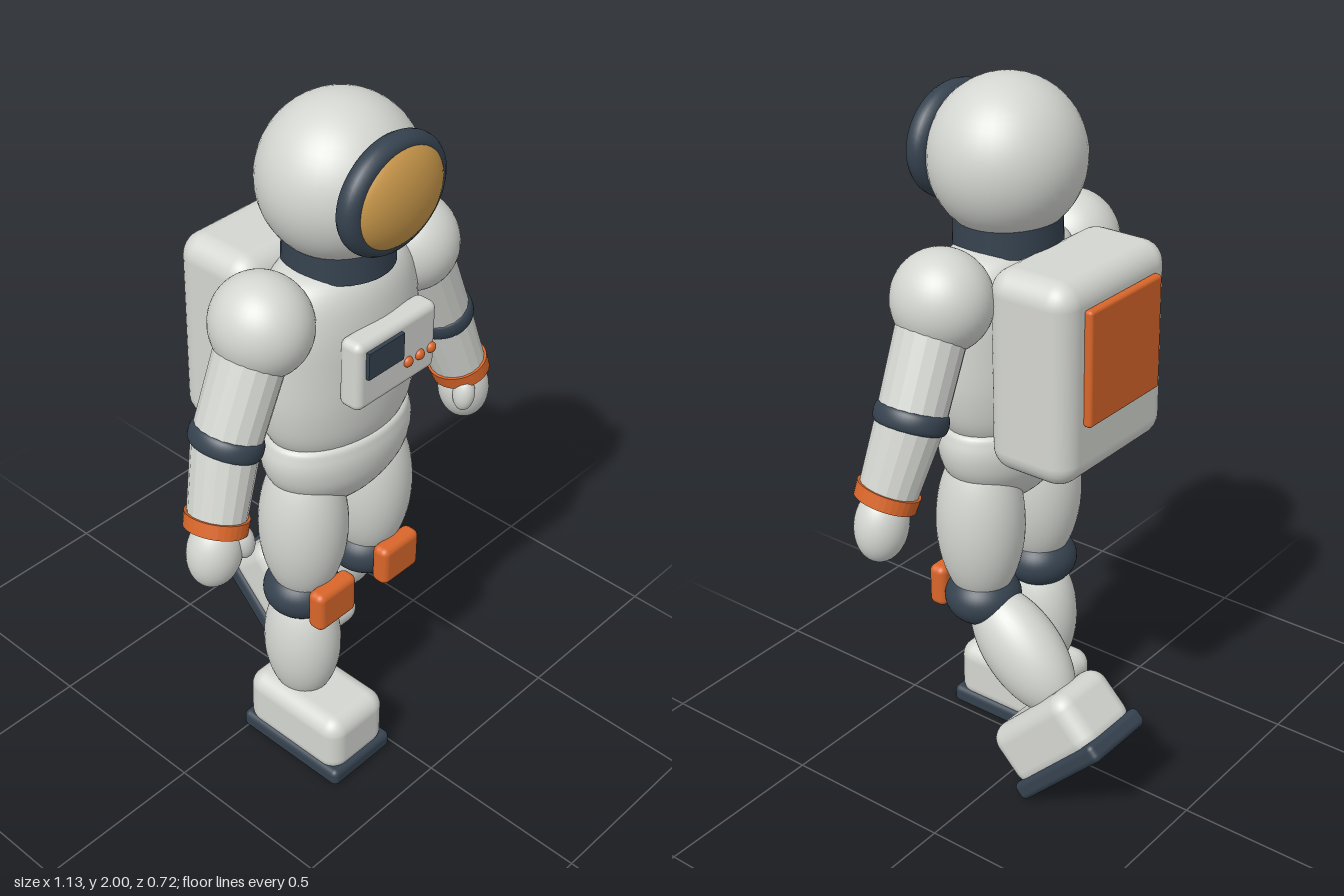
import * as THREE from 'three';
import { RoundedBoxGeometry } from 'three/addons/geometries/RoundedBoxGeometry.js';

const mat = (name, color) => {
  const m = new THREE.MeshStandardMaterial({ color });
  m.name = name;
  return m;
};

export function createModel() {
  const white = mat('suit white', 0xd4d6d1);
  const dark = mat('joint slate', 0x35424f);
  const orange = mat('accent orange', 0xd9662a);
  const gold = mat('visor gold', 0xc8974a);
  const Z = 0.115; // body axis depth

  const add = (parent, name, geo, material, x = 0, y = 0, z = 0) => {
    const m = new THREE.Mesh(geo, material);
    m.name = name;
    m.position.set(x, y, z);
    parent.add(m);
    return m;
  };
  const group = (parent, name, x = 0, y = 0, z = 0) => {
    const g = new THREE.Group();
    g.name = name;
    g.position.set(x, y, z);
    parent.add(g);
    return g;
  };
  const ball = (rx, ry, rz) => new THREE.SphereGeometry(1, 40, 28).scale(rx, ry, rz);
  const box = (w, h, d, r) => new RoundedBoxGeometry(w, h, d, 4, r);
  // Smooth lathe with an oval footprint
  const lathe = (pts, depth) => {
    const curve = new THREE.SplineCurve(pts.map(([x, y]) => new THREE.Vector2(x, y)));
    const line = curve.getPoints(40).map(p => p.setX(Math.max(0, p.x)));
    return new THREE.LatheGeometry(line, 48).scale(1, 1, depth);
  };
  // Faceted sleeve between two points, oval in section
  const sleeve = (parent, name, a, b, r0, r1, material, sides = 18) => {
    const dir = b.clone().sub(a);
    const geo = new THREE.CylinderGeometry(r0, r1, dir.length(), sides).scale(0.9, 1, 1).toNonIndexed();
    geo.computeVertexNormals();
    const m = add(parent, name, geo, material);
    m.position.copy(a).add(b).multiplyScalar(0.5);
    m.quaternion.setFromUnitVectors(new THREE.Vector3(0, -1, 0), dir.normalize());
    return m;
  };

  const root = new THREE.Group();
  root.name = 'astronaut';

  // Helmet, visor and neck
  const head = group(root, 'head', 0, 1.79, Z);
  add(head, 'helmet', ball(0.212, 0.212, 0.205), white);
  add(head, 'visorRim', new THREE.TorusGeometry(0.147, 0.033, 16, 56).scale(1, 0.86, 1), dark, 0, 0.012, 0.167);
  add(head, 'visor', ball(0.16, 0.138, 0.07), gold, 0, 0.012, 0.173);
  add(root, 'neckRing', new THREE.CylinderGeometry(0.143, 0.145, 0.08, 40), dark, 0, 1.602, Z);

  // Torso and pelvis
  add(root, 'torso', lathe([[0, 1.05], [0.17, 1.055], [0.226, 1.1], [0.25, 1.2], [0.252, 1.32],
    [0.245, 1.44], [0.215, 1.53], [0.15, 1.575], [0, 1.585]], 0.64), white, 0, 0, Z);
  add(root, 'pelvis', lathe([[0, 0.815], [0.08, 0.833], [0.16, 0.885], [0.22, 0.95], [0.24, 1.01],
    [0.235, 1.06], [0.21, 1.09], [0.1, 1.093], [0, 1.093]], 0.66), white, 0, 0, Z);

  // Chest control panel
  const panel = group(root, 'chestPanel', 0, 1.35, 0.285);
  add(panel, 'panelBody', box(0.296, 0.2, 0.07, 0.022), white);
  add(panel, 'panelScreen', new THREE.BoxGeometry(0.13, 0.078, 0.012), dark, -0.056, 0.036, 0.04);
  for (const x of [0.037, 0.081, 0.125]) add(panel, 'panelButton', ball(0.015, 0.015, 0.012), orange, x, -0.03, 0.036);

  // Backpack
  add(root, 'backpack', box(0.465, 0.56, 0.26, 0.065), white, 0, 1.3, -0.11);
  add(root, 'backpackPlate', box(0.31, 0.32, 0.026, 0.01), orange, 0, 1.35, -0.25);

  for (const s of [-1, 1]) {
    const side = s > 0 ? 'left' : 'right';
    const v = (x, y, z) => new THREE.Vector3(s * x, y, z);

    // Arm
    const arm = group(root, side + 'Arm');
    const shoulder = v(0.285, 1.48, Z), elbow = v(0.402, 1.21, Z), wrist = v(0.475, 1.0, 0.145);
    add(arm, 'shoulder', ball(0.128, 0.136, 0.137), white, s * 0.272, 1.486, 0.113);
    sleeve(arm, 'upperArm', shoulder, elbow, 0.099, 0.094, white);
    sleeve(arm, 'forearm', elbow, wrist, 0.094, 0.08, white);
    const band = add(arm, 'elbowBand', lathe([[0.07, -0.033], [0.096, -0.024], [0.103, 0], [0.096, 0.024], [0.07, 0.033]], 1.14), dark);
    band.geometry.scale(0.88, 1, 0.88);
    band.position.copy(elbow);
    band.rotation.z = s * 0.39;
    const d = wrist.clone().sub(elbow).normalize();
    const at = t => wrist.clone().addScaledVector(d, t);
    sleeve(arm, 'wristCuff', at(-0.028), at(0.012), 0.089, 0.087, orange, 32);
    const hand = add(arm, 'hand', ball(0.074, 0.102, 0.071), white, s * 0.489, 0.928, 0.152);
    hand.rotation.z = s * 0.2;
    const thumb = add(arm, 'thumb', ball(0.03, 0.052, 0.032), white, s * 0.434, 0.95, 0.198);
    thumb.rotation.z = -s * 0.1;

    // Leg, with the left one bent back at the knee
    const leg = group(root, side + 'Leg', s * 0.13, 0.56, Z + 0.003);
    add(leg, 'thigh', ball(0.12, 0.25, 0.125), white, 0, 0.225, 0);
    add(leg, 'knee', ball(0.108, 0.082, 0.107), dark, 0, -0.008, -0.005);
    add(leg, 'kneePad', box(0.146, 0.125, 0.055, 0.02), orange, 0, 0.005, 0.108);
    const lower = group(leg, 'lowerLeg');
    if (s > 0) lower.rotation.x = Math.PI / 4;
    add(lower, 'shin', ball(0.102, 0.205, 0.115), white, 0, -0.2, -0.003);
    add(lower, 'boot', box(0.222, 0.19, 0.35, 0.05), white, 0, -0.44, 0.05);
    add(lower, 'bootSole', box(0.234, 0.055, 0.368, 0.018), dark, 0, -0.5315, 0.052);
  }
  return root;
}
